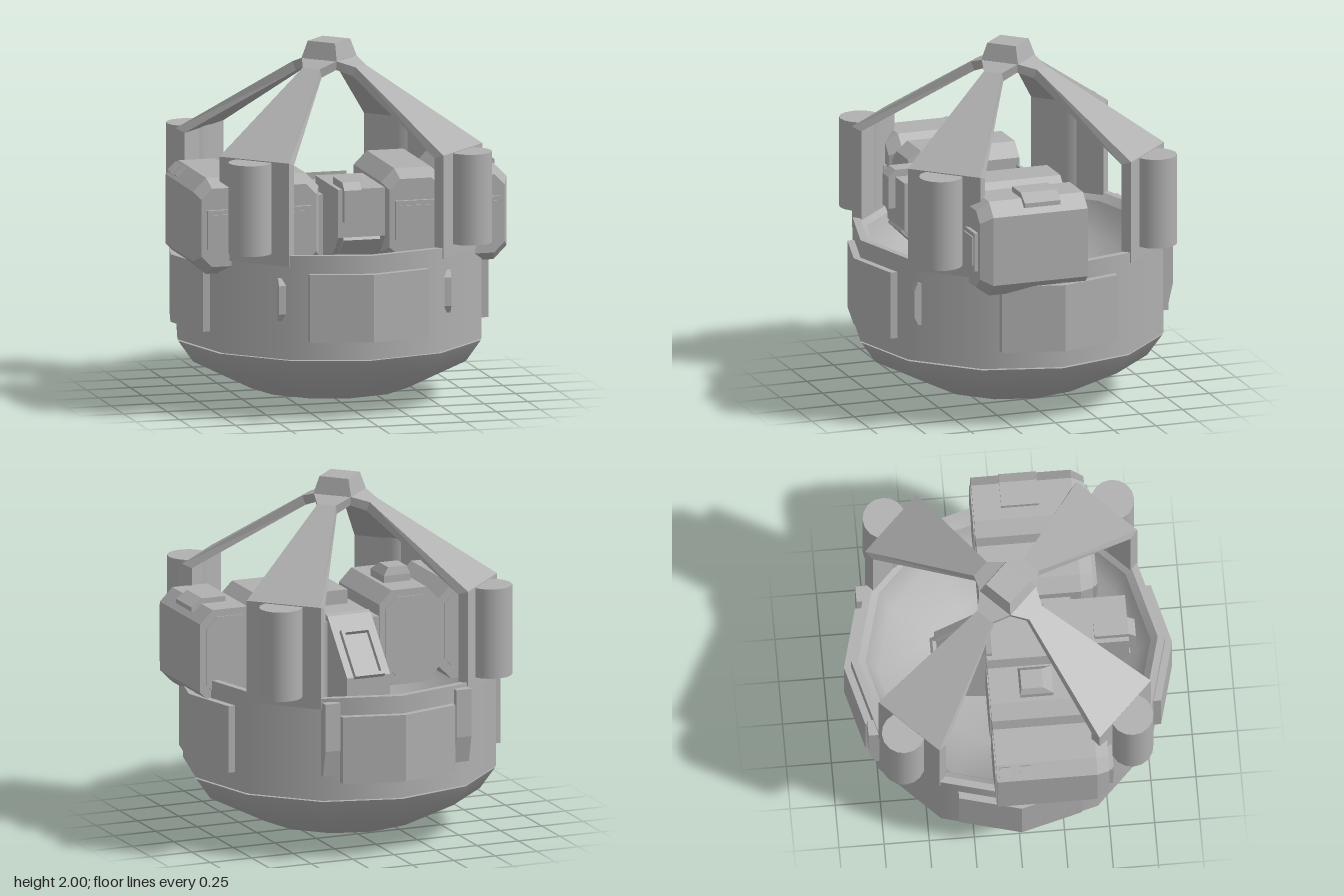
import * as THREE from 'three';

const grey = new THREE.MeshStandardMaterial({ color: 0xb0b0b0 });
grey.name = 'hullGrey';
const greyOpen = new THREE.MeshStandardMaterial({ color: 0xb0b0b0, side: THREE.DoubleSide });
greyOpen.name = 'hullGreyOpen';

// Solid through matching closed rings of [x, y, z], flat faces, capped ends
function loft(rings) {
  const p = [];
  const n = rings[0].length;
  const tri = (a, b, c) => p.push(...a, ...b, ...c);
  for (let i = 0; i < rings.length - 1; i++) {
    for (let j = 0; j < n; j++) {
      const k = (j + 1) % n;
      tri(rings[i][j], rings[i][k], rings[i + 1][k]);
      tri(rings[i][j], rings[i + 1][k], rings[i + 1][j]);
    }
  }
  const s = rings[0], e = rings[rings.length - 1];
  for (let j = 1; j < n - 1; j++) {
    tri(s[0], s[j + 1], s[j]);
    tri(e[0], e[j], e[j + 1]);
  }
  const g = new THREE.BufferGeometry();
  g.setAttribute('position', new THREE.Float32BufferAttribute(p, 3));
  g.computeVertexNormals();
  return g;
}

const prism = (pts, depth) => new THREE.ExtrudeGeometry(
  new THREE.Shape(pts.map(([x, y]) => new THREE.Vector2(x, y))), { depth, bevelEnabled: false });

// Side profile of [z, y] points, extruded across x and centred on it
const sideProfile = (pts, width) =>
  prism(pts, width).translate(0, 0, -width / 2).rotateY(-Math.PI / 2);

// Box given by its limits
const box = (x0, x1, y0, y1, z0, z1) => new THREE.BoxGeometry(x1 - x0, y1 - y0, z1 - z0)
  .translate((x0 + x1) / 2, (y0 + y1) / 2, (z0 + z1) / 2);

// Octagon ring: rectangle with cut corners
function octagon(x0, x1, y0, y1, c, z) {
  return [[x1 - c, y0], [x1, y0 + c], [x1, y1 - c], [x1 - c, y1],
    [x0 + c, y1], [x0, y1 - c], [x0, y0 + c], [x0 + c, y0]].map(([x, y]) => [x, y, z]);
}

export function createModel() {
  const model = new THREE.Group();
  model.name = 'capsule';
  const add = (name, geometry, parent = model, material = grey) => {
    const m = new THREE.Mesh(geometry, material);
    m.name = name;
    parent.add(m);
    return m;
  };
  const lathe = (pts) => new THREE.LatheGeometry(pts.map(([r, y]) => new THREE.Vector2(r, y)), 12);

  // Twelve-sided hull: wall, rim, inner basin and domed underside
  add('hullWall', new THREE.CylinderGeometry(0.87, 0.87, 0.58, 12, 1, true).translate(0, 0.65, 0));
  add('hullRim', lathe([[0.87, 0.94], [0.83, 0.94]]), model, greyOpen);
  add('rimStep', lathe([[0.83, 0.94], [0.79, 0.9]]), model, greyOpen);
  add('innerBasin', lathe([[0.79, 0.9], [0.72, 0.72], [0.45, 0.57], [0, 0.52]]), model, greyOpen);
  add('hullLip', lathe([[0.84, 0.36], [0.87, 0.36]]), model, greyOpen);
  add('hullSeam', new THREE.CylinderGeometry(0.84, 0.84, 0.02, 12, 1, true).translate(0, 0.355, 0));
  add('underside', lathe([[0, 0.005], [0.45, 0.065], [0.78, 0.23], [0.865, 0.35]]), model, greyOpen);
  add('undersideLip', lathe([[0.865, 0.35], [0.83, 0.35]]), model, greyOpen);

  // Raised hull panels on the four sides
  const panel = prism([[-0.34, 0.77], [0, 0.86], [0.34, 0.77], [0.34, 0.82], [0, 0.91], [-0.34, 0.82]], 0.38)
    .rotateX(-Math.PI / 2).translate(0, 0.46, 0);
  for (let i = 0; i < 4; i++) add('hullPanel', panel).rotation.y = i * Math.PI / 2;

  // Four corner struts: post, sloping arm and rounded tank
  const strutRing = (w, ro, yo, ri, yi) => [[w, yo, ro], [w, yi, ri], [-w, yi, ri], [-w, yo, ro]];
  const strut = loft([
    strutRing(0.22, 0.848, 0.88, 0.79, 0.88),
    strutRing(0.22, 0.848, 1.46, 0.79, 1.44),
    strutRing(0.054, 0.2, 1.87, 0.18, 1.82),
    strutRing(0.11, 0.11, 1.905, 0.09, 1.86),
  ]);
  const tank = new THREE.CylinderGeometry(0.12, 0.12, 0.51, 16).translate(0, 1.2, 0.895);
  for (let i = 0; i < 4; i++) {
    const corner = new THREE.Group();
    corner.name = 'cornerStrut';
    corner.rotation.y = Math.PI / 4 + i * Math.PI / 2;
    add('strut', strut, corner);
    add('tank', tank, corner);
    add('tankMount', box(-0.09, 0.09, 0.945, 1.45, 0.82, 0.9), corner);
    model.add(corner);
  }

  // Diamond cap joining the arms
  const diamond = (r, y) => [[r, y, 0], [0, y, -r], [-r, y, 0], [0, y, r]];
  add('topCap', loft([diamond(0.13, 1.87), diamond(0.158, 1.905), diamond(0.122, 2)]));

  // Twin octagonal pods on both sides, with framed front plates
  for (const side of [-1, 1]) {
    for (const c of [0.36, 0.72]) {
      const x0 = side * c - 0.18, x1 = side * c + 0.18;
      add('sidePod', loft([
        octagon(x0, x1, 0.8, 1.34, 0.075, -0.135),
        octagon(x0, x1, 0.8, 1.34, 0.075, 0.42),
        octagon(x0 + 0.03, x1 - 0.03, 0.85, 1.29, 0.06, 0.49),
      ]));
      add('podFrontPlate', box(x0 + 0.06, x1 - 0.06, 0.95, 1.17, 0.48, 0.51));
      add('podFrontInset', box(x0 + 0.08, x1 - 0.08, 0.98, 1.145, 0.5, 0.517));
      add('podBackPlate', loft([
        octagon(x0 + 0.035, x1 - 0.035, 0.85, 1.3, 0.065, -0.142),
        octagon(x0 + 0.035, x1 - 0.035, 0.85, 1.3, 0.065, -0.13)]));
    }
    // Small front handles and tapered rear fins on the hull
    add('frontHandle', sideProfile([[0.66, 0.57], [0.715, 0.57], [0.735, 0.61], [0.735, 0.77], [0.715, 0.81], [0.66, 0.81]], 0.04)
      .translate(side * 0.475, 0, 0));
    add('rearFin', sideProfile([[-0.74, 0.5], [-0.74, 0.92], [-0.81, 0.92], [-0.81, 0.65], [-0.775, 0.5]], 0.09)
      .translate(side * 0.395, 0, 0));
  }

  // Fittings on the pod roofs
  const rect = (x0, x1, z0, z1, y) => [[x1, y, z1], [x1, y, z0], [x0, y, z0], [x0, y, z1]];
  add('roofHatch', loft([rect(-0.44, -0.28, 0.03, 0.215, 1.33), rect(-0.44, -0.28, 0.03, 0.215, 1.38),
    rect(-0.42, -0.31, 0.04, 0.16, 1.425)]));
  add('roofPlate', prism([[0.68, 1.32], [0.84, 1.29], [0.885, 1.3], [0.885, 1.325], [0.82, 1.37], [0.68, 1.37]], 0.21)
    .translate(0, 0, 0.02));
  for (const z of [-0.09, 0.025]) {
    const stud = add('roofStud', new THREE.BoxGeometry(0.07, 0.03, 0.06));
    stud.position.set(-0.86, 1.305, z);
    stud.rotation.z = 0.75;
  }

  // Central machinery between the pods
  add('core', box(-0.18, 0.18, 0.56, 1.2, -0.13, 0.36));
  add('frontBlock', sideProfile([[0.2, 0.7], [0.42, 0.78], [0.6, 0.94], [0.66, 1.01], [0.66, 1.28], [0.2, 1.28]], 0.27));
  add('frontBlockPlate', sideProfile([[0.46, 0.79], [0.67, 0.995], [0.66, 1.01], [0.45, 0.81]], 0.21));
  add('periscope', sideProfile([[0.47, 1.26], [0.65, 1.26], [0.65, 1.1], [0.7, 1.1], [0.7, 1.28], [0.66, 1.32], [0.47, 1.32]], 0.1)
    .translate(-0.06, 0, 0));

  // Sloped rear console with a raised frame
  add('rearConsole', sideProfile([[-0.1, 0.55], [-0.1, 1.24], [-0.13, 1.23], [-0.4, 0.94], [-0.4, 0.62]], 0.26));
  const frame = prism([[-0.09, -0.16], [0.09, -0.16], [0.09, 0.14], [-0.09, 0.14]], 0.03);
  const hole = new THREE.Shape([[-0.09, -0.16], [0.09, -0.16], [0.09, 0.14], [-0.09, 0.14]].map((q) => new THREE.Vector2(...q)));
  hole.holes.push(new THREE.Path([[-0.07, -0.14], [-0.07, 0.12], [0.07, 0.12], [0.07, -0.14]].map((q) => new THREE.Vector2(...q))));
  frame.dispose();
  const consoleFrame = add('consoleFrame', new THREE.ExtrudeGeometry(hole, { depth: 0.03, bevelEnabled: false }));
  consoleFrame.position.set(0, 1.05, -0.297);
  consoleFrame.rotation.set(-0.75, Math.PI, 0, 'YXZ');

  return model;
}
